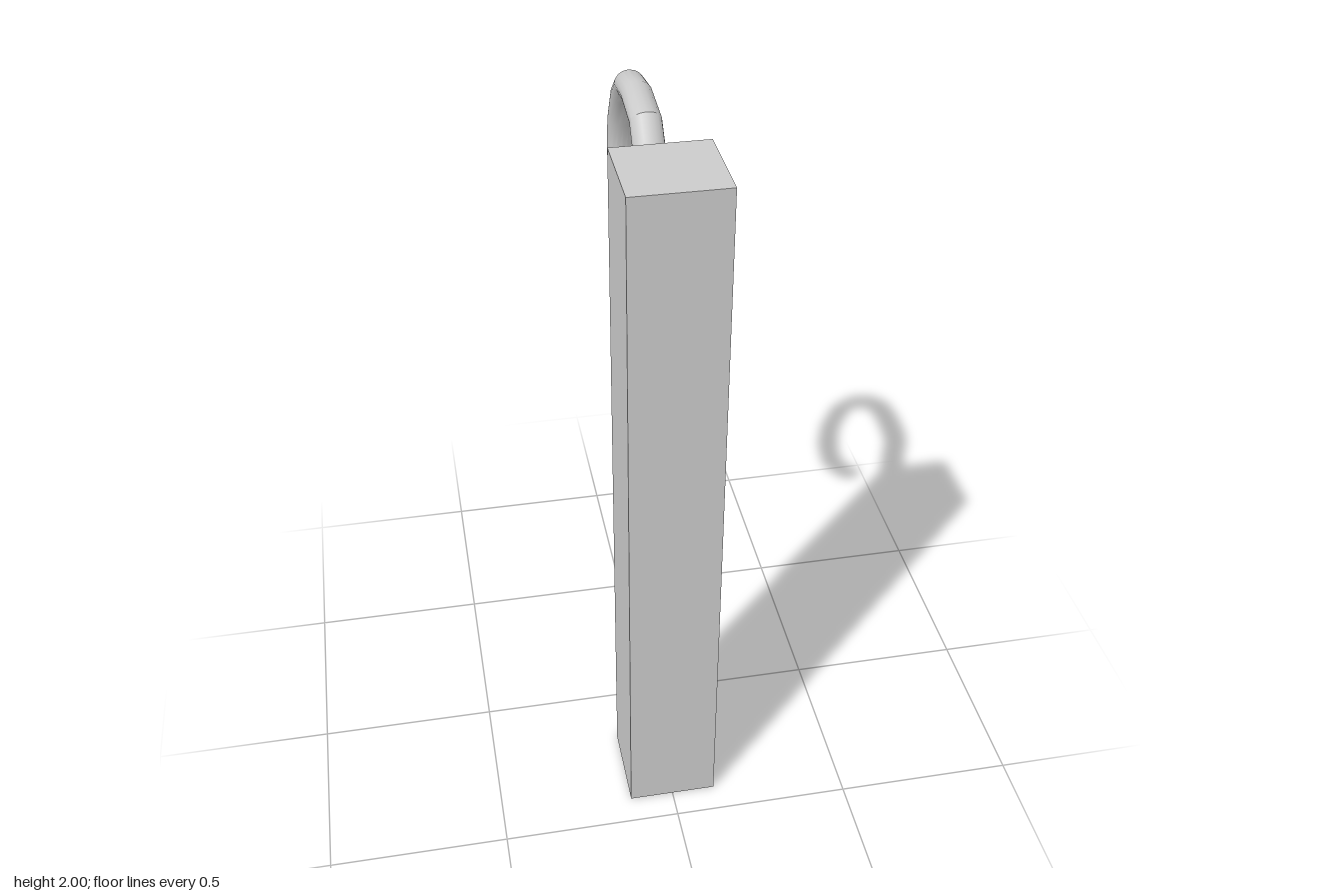
import * as THREE from 'three';
import { toCreasedNormals } from 'three/addons/utils/BufferGeometryUtils.js';

const SIDES = 16;

// Tapered oval tube along a path in the x = 0 plane, given as [z, y] points
function hookGeometry(path, rxStart, rxEnd, rnStart, rnEnd) {
  const pos = [], index = [], last = path.length - 1;
  const dir = (a, b) => new THREE.Vector2(b[0] - a[0], b[1] - a[1]).normalize();
  path.forEach(([z, y], i) => {
    const t = dir(path[Math.max(i - 1, 0)], path[i]);
    if (i < last) t.add(dir(path[i], path[i + 1]));
    t.normalize();
    const rx = THREE.MathUtils.lerp(rxStart, rxEnd, i / last);
    const rn = THREE.MathUtils.lerp(rnStart, rnEnd, i / last);
    for (let j = 0; j < SIDES; j++) {
      const a = (j / SIDES) * Math.PI * 2, s = Math.sin(a) * rn;
      pos.push(Math.cos(a) * rx, y + t.x * s, z - t.y * s);
    }
  });
  for (let i = 0; i < last; i++) {
    for (let j = 0; j < SIDES; j++) {
      const k = (j + 1) % SIDES;
      const a = i * SIDES + j, b = i * SIDES + k;
      index.push(a, b, b + SIDES, a, b + SIDES, a + SIDES);
    }
  }
  // End caps
  const end = last * SIDES;
  for (let j = 1; j < SIDES - 1; j++) {
    index.push(0, j + 1, j, end, end + j, end + j + 1);
  }
  const geo = new THREE.BufferGeometry();
  geo.setAttribute('position', new THREE.Float32BufferAttribute(pos, 3));
  geo.setIndex(index);
  return toCreasedNormals(geo, Math.PI / 6);
}

export function createModel() {
  const model = new THREE.Group();
  model.name = 'hookPost';
  const material = new THREE.MeshStandardMaterial({ color: 0xcccccc });
  const add = (name, geometry, y = 0, z = 0) => {
    const mesh = new THREE.Mesh(geometry, material);
    mesh.name = name;
    mesh.position.set(0, y, z);
    model.add(mesh);
  };

  // Square post
  add('post', new THREE.BoxGeometry(0.248, 1.98, 0.246), 0.99, 0.297);

  // Mounting plate on the back of the post
  add('mountingPlate', new THREE.BoxGeometry(0.146, 0.3, 0.04), 1.75, 0.157);

  // Curled hook
  const path = [
    [0.18, 1.676], [0.1, 1.825], [-0.01, 1.952], [-0.133, 1.968], [-0.235, 1.952],
    [-0.305, 1.894], [-0.366, 1.798], [-0.387, 1.695], [-0.35, 1.58],
    [-0.281, 1.512], [-0.188, 1.488], [-0.103, 1.528], [-0.054, 1.572],
  ];
  add('hook', hookGeometry(path, 0.042, 0.033, 0.036, 0.027));

  return model;
}
